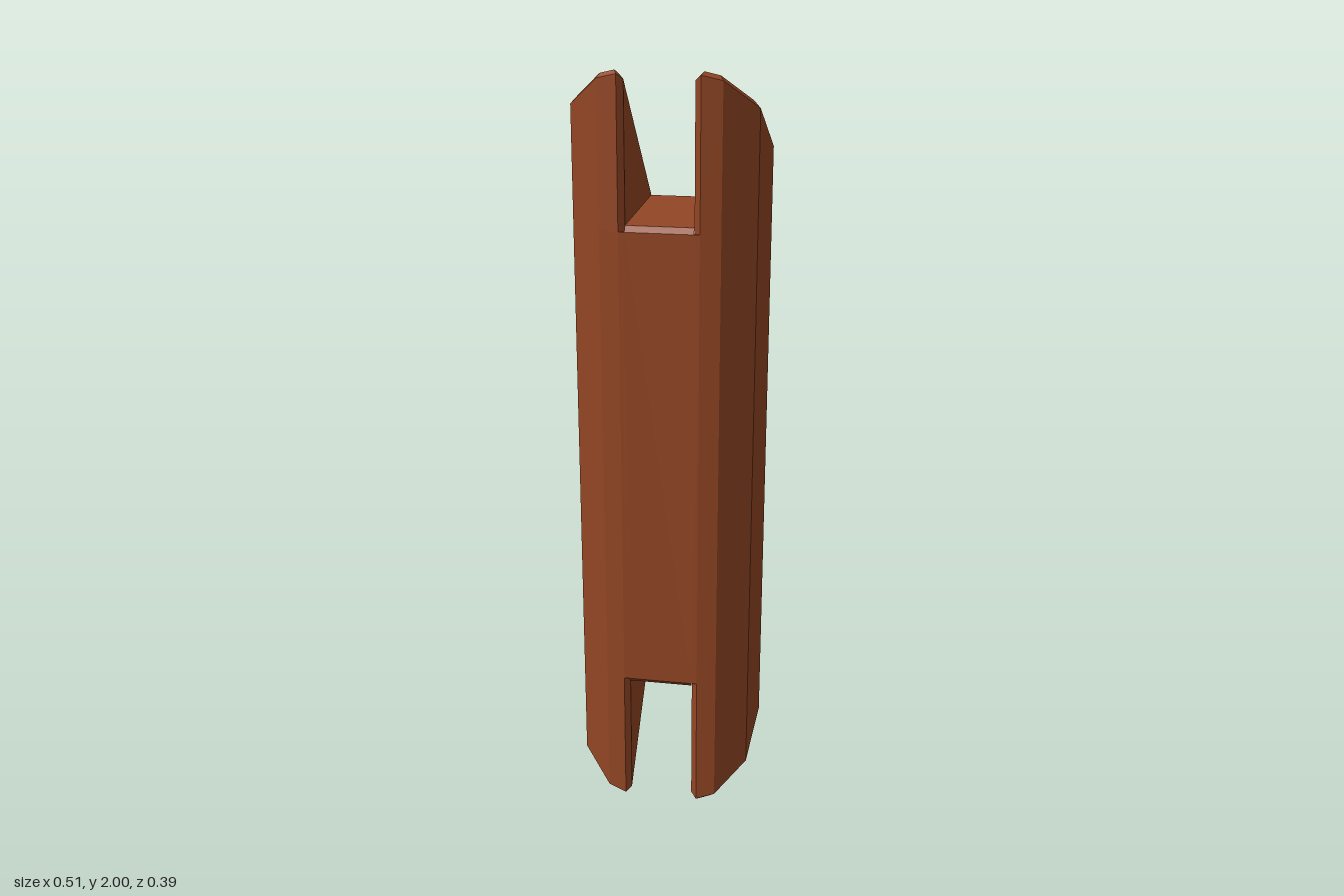
import * as THREE from 'three';

const wood = new THREE.MeshStandardMaterial({ color: 0x934624, flatShading: true });
wood.name = 'brown wood';

const FLOOR = 1.62; // height of the notch floor edge
const HALF = 0.085; // half width of the notch

// One half of the cross-section: outer x, z and bevelled x, z
const section = [
  [HALF, 0.18, 0.1, 0.174],
  [0.1, 0.193, 0.106, 0.18],
  [0.15, 0.18, 0.143, 0.17],
  [0.23, 0.107, 0.214, 0.104],
  [0.253, -0.003, 0.24, -0.003],
  [0.232, -0.088, 0.217, -0.088],
  [0.15, -0.185, 0.143, -0.177],
  [HALF, -0.197, 0.093, -0.183],
];

// Joins closed rings of points; keep(ring, segment) selects the quads
function loft(rings, { caps = false, flip = false, keep = () => true } = {}) {
  const pos = [];
  const tri = (a, b, c) => pos.push(...a, ...(flip ? c : b), ...(flip ? b : c));
  for (let r = 0; r < rings.length - 1; r++) {
    const lo = rings[r], hi = rings[r + 1], n = lo.length;
    for (let i = 0; i < n; i++) {
      if (!keep(r, i)) continue;
      const j = (i + 1) % n;
      tri(lo[i], lo[j], hi[j]);
      tri(lo[i], hi[j], hi[i]);
    }
  }
  if (caps) {
    const lo = rings[0], hi = rings[rings.length - 1];
    for (let i = 1; i < lo.length - 1; i++) {
      tri(hi[0], hi[i], hi[i + 1]);
      tri(lo[0], lo[i + 1], lo[i]);
    }
  }
  const geo = new THREE.BufferGeometry();
  geo.setAttribute('position', new THREE.Float32BufferAttribute(pos, 3));
  geo.computeVertexNormals();
  return geo;
}

// Sloped end plane, highest at the front
const slope = (z) => 2 - (0.18 - z) * 0.97;

// Side of the log with its two slanted prongs
function sideGeometry(s) {
  const body = section.map(([x, z], i) => [s * x, FLOOR, i === 0 ? 0.193 : z]);
  const notch = section.map(([x, z]) => [s * x, FLOOR, z]);
  const rim = section.map(([x, z]) => [s * x, Math.max(FLOOR, slope(z) - 0.02), z]);
  const cap = section.map(([, , x, z]) => [s * x, slope(z), z]);
  const upper = [body, notch, rim, cap];
  const lower = upper.map((ring) => ring.map(([x, y, z]) => [x, 2 - y, z])).reverse();
  const last = section.length - 1;
  return loft([...lower, ...upper], {
    caps: true,
    flip: s < 0,
    // leave the inner wall open where the middle joins
    keep: (r, i) => !(i === last && r >= 2 && r <= 4),
  });
}

// Middle strip with bevelled notch floors at both ends
function middleGeometry() {
  const top = [[0.193, FLOOR], [0.18, 1.634], [-0.18, 1.634], [-0.197, FLOOR]];
  const profile = [...top, ...top.map(([z, y]) => [z, 2 - y]).reverse()];
  return loft([HALF, -HALF].map((x) => profile.map(([z, y]) => [x, y, z])));
}

export function createModel() {
  const model = new THREE.Group();
  model.name = 'notchedLog';
  const add = (name, geo) => {
    const mesh = new THREE.Mesh(geo, wood);
    mesh.name = name;
    model.add(mesh);
  };
  add('leftSide', sideGeometry(1));
  add('rightSide', sideGeometry(-1));
  add('middle', middleGeometry());
  return model;
}
